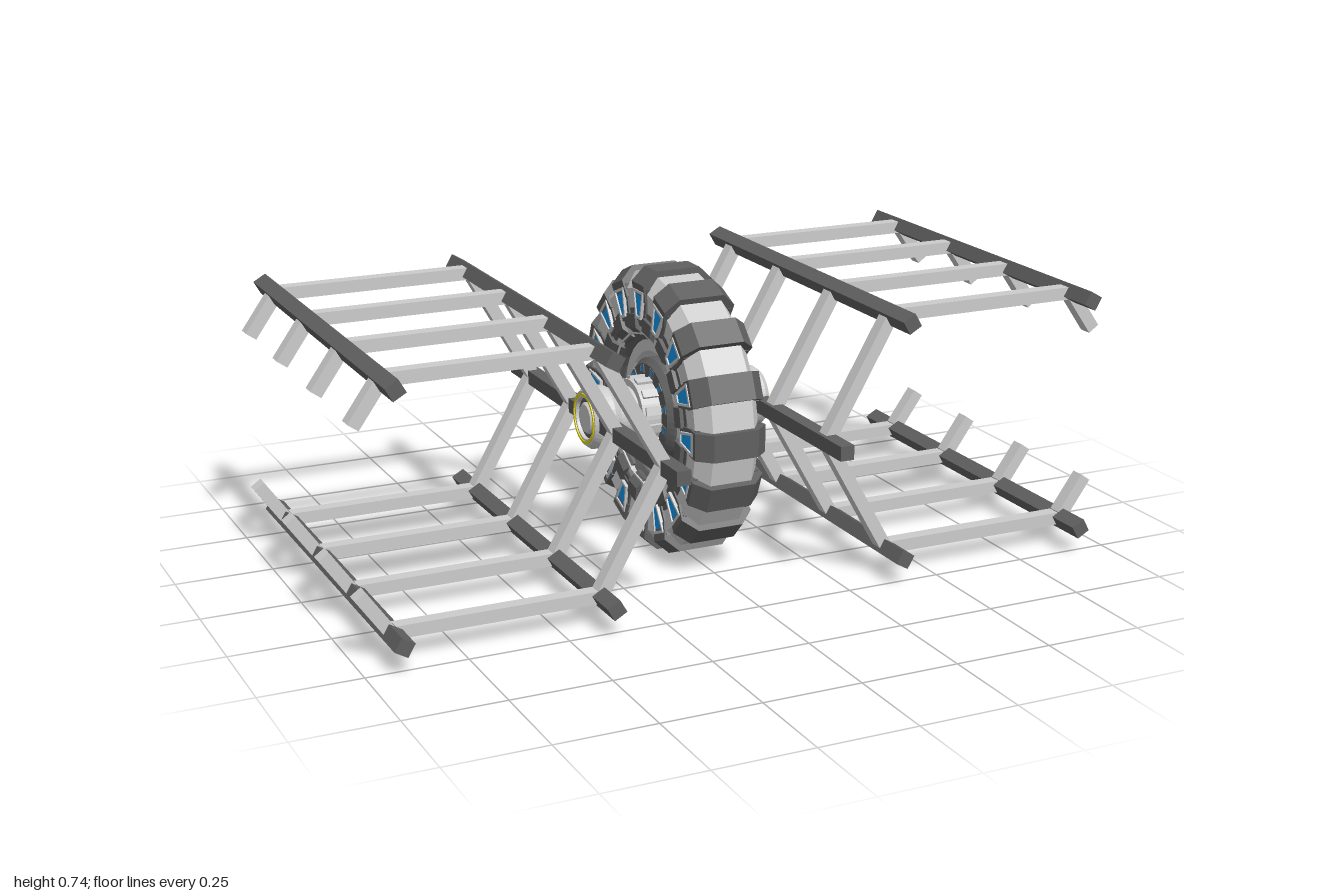
import * as THREE from 'three';

const CY = 0.37; // axle height
const mat = (color, flat = true) => new THREE.MeshStandardMaterial({ color, flatShading: flat });
const light = mat(0xcccccc), smooth = mat(0xcccccc, false), dark = mat(0x606060);
const blue = mat(0x1199ee), yellow = mat(0xe6d800);
smooth.side = THREE.DoubleSide;

function add(parent, name, geometry, material) {
  const m = new THREE.Mesh(geometry, material);
  m.name = name;
  parent.add(m);
  return m;
}

// Ring or disc around the x axis; profile points are [x, radius], from -x to +x on the outside
function turned(profile, segments) {
  const g = new THREE.LatheGeometry(profile.map(([x, r]) => new THREE.Vector2(r, x)), segments);
  return g.rotateZ(-Math.PI / 2);
}
const ring = (r0, r1, x0, x1, seg = 48) =>
  turned([[x0, r0], [x0, r1], [x1, r1], [x1, r0], [x0, r0]], seg);

// Block with an (x, radius) section, extruded along the tangent
function tangentBlock(points, width) {
  const s = new THREE.Shape(points.map(([x, r]) => new THREE.Vector2(x, r)));
  return new THREE.ExtrudeGeometry(s, { depth: width, bevelEnabled: false }).translate(0, 0, -width / 2);
}

const trapezoid = (r0, r1, w0, w1) =>
  [[-w0, r0], [w0, r0], [w1, r1], [-w1, r1]].map(([x, y]) => new THREE.Vector2(x, y));

// Trapezoid seen from the side of the wheel, reaching through to both faces
function sidePanel(outer, halfX, hole) {
  const s = new THREE.Shape(outer);
  if (hole) s.holes.push(new THREE.Path(hole));
  return new THREE.ExtrudeGeometry(s, { depth: halfX * 2, bevelEnabled: false })
    .translate(0, 0, -halfX).rotateY(Math.PI / 2);
}

// Repeat a builder around the axle
function around(parent, count, offset, build) {
  for (let i = 0; i < count; i++) {
    const pivot = new THREE.Group();
    pivot.name = 'sector';
    pivot.rotation.x = (i + offset) * Math.PI * 2 / count;
    parent.add(pivot);
    build(pivot);
  }
}

function createWheel() {
  const wheel = new THREE.Group();
  wheel.name = 'wheel';
  wheel.position.y = CY;

  // Faceted tyre and darker sidewall
  add(wheel, 'tyre', turned([[-0.08, 0.2], [-0.08, 0.25], [-0.086, 0.32], [-0.056, 0.361],
    [0.056, 0.361], [0.086, 0.32], [0.08, 0.25], [0.08, 0.2], [-0.08, 0.2]], 16), light);
  add(wheel, 'sidewall', turned([[-0.055, 0.18], [-0.084, 0.225], [-0.084, 0.265],
    [0.084, 0.265], [0.084, 0.225], [0.055, 0.18], [-0.055, 0.18]], 32), dark);
  add(wheel, 'rim', ring(0.15, 0.2, -0.05, 0.05), light);

  // Tread lugs with framed blue windows
  const lug = tangentBlock([[-0.09, 0.29], [0.09, 0.29], [0.096, 0.335], [0.06, 0.37],
    [-0.06, 0.37], [-0.096, 0.335]], 0.07);
  const panel = sidePanel(trapezoid(0.235, 0.325, 0.026, 0.037), 0.088);
  const pane = trapezoid(0.25, 0.31, 0.01, 0.023);
  const frame = sidePanel(trapezoid(0.243, 0.317, 0.015, 0.03), 0.096, pane);
  const glass = sidePanel(pane, 0.092);
  around(wheel, 16, 0, p => {
    add(p, 'treadLug', lug, dark);
    add(p, 'windowPanel', panel, dark);
    add(p, 'windowFrame', frame, light);
    add(p, 'window', glass, blue);
  });

  // Inner blocks between the windows
  const block = tangentBlock([[-0.07, 0.19], [0.07, 0.19], [0.094, 0.215], [0.094, 0.25],
    [-0.094, 0.25], [-0.07, 0.19]].slice(0, 4).concat([[-0.094, 0.25], [-0.094, 0.215]]), 0.05);
  around(wheel, 16, 0.5, p => add(p, 'innerBlock', block, dark));
  return wheel;
}

function createHub() {
  const hub = new THREE.Group();
  hub.name = 'hub';
  hub.position.y = CY;

  add(hub, 'hubDisc', turned([[-0.07, 0], [-0.07, 0.12], [-0.055, 0.134], [0.055, 0.134],
    [0.07, 0.12], [0.07, 0]], 48), dark);
  const lightFrame = sidePanel(trapezoid(0.096, 0.117, 0.011, 0.012), 0.073,
    trapezoid(0.099, 0.114, 0.007, 0.008));
  const lamp = sidePanel(trapezoid(0.099, 0.114, 0.007, 0.008), 0.072);
  const tooth = tangentBlock([[-0.112, 0.07], [0.112, 0.07], [0.112, 0.092], [-0.112, 0.092]], 0.022);
  around(hub, 12, 0.5, p => {
    add(p, 'lampFrame', lightFrame, dark);
    add(p, 'lamp', lamp, blue);
    add(p, 'hubTooth', tooth, light);
  });

  // Axle sleeves, end caps and yellow seals on both sides
  for (const s of [-1, 1]) {
    const side = new THREE.Group();
    side.name = s > 0 ? 'leftAxle' : 'rightAxle';
    side.rotation.y = s > 0 ? 0 : Math.PI;
    hub.add(side);
    const sleeve = turned([[0.06, 0.086], [0.12, 0.086], [0.12, 0.068], [0.17, 0.068],
      [0.19, 0.08], [0.232, 0.08], [0.245, 0.07], [0.245, 0.054], [0.225, 0.05], [0.225, 0]], 40);
    const flat = smooth.clone();
    flat.flatShading = true;
    add(side, 'axleSleeve', sleeve, flat);
    add(side, 'yellowSeal', ring(0.059, 0.065, 0.23, 0.248), yellow);
    add(side, 'darkCollar', ring(0.041, 0.052, 0.2, 0.236), dark);
    add(side, 'axleCap', turned([[0.2, 0.041], [0.238, 0.041], [0.244, 0.036], [0.244, 0]], 32), light);
  }
  return hub;
}

// Square bar in the xy plane between two points
function bar(parent, name, a, b, z) {
  const dx = b[0] - a[0], dy = b[1] - a[1];
  const m = add(parent, name, new THREE.BoxGeometry(Math.hypot(dx, dy), 0.032, 0.036), light);
  m.position.set((a[0] + b[0]) / 2, (a[1] + b[1]) / 2, z);
  m.rotation.z = Math.atan2(dy, dx);
}

function rail(parent, x, y, angle) {
  const m = add(parent, 'rail', new THREE.BoxGeometry(0.037, 0.037, 1.06), dark);
  m.position.set(x, y, 0);
  m.rotation.z = angle;
}

// Ladder-like wing: bent ribs joined by long rails
function createWing(s) {
  const wing = new THREE.Group();
  wing.name = s > 0 ? 'leftWing' : 'rightWing';
  rail(wing, s * 0.218, CY, 0);
  for (const v of [-1, 1]) {
    const path = [[0.218, 0], [0.39, 0.302], [0.912, 0.302], [0.984, 0.2]]
      .map(([x, y]) => [s * x, CY + v * y]);
    for (const z of [-0.42, -0.14, 0.14, 0.42]) {
      bar(wing, 'innerArm', path[0], path[1], z);
      bar(wing, 'rib', path[1], path[2], z);
      bar(wing, 'outerStub', path[2], path[3], z);
    }
    rail(wing, path[1][0], path[1][1], s * v * Math.PI / 6);
    rail(wing, path[2][0], path[2][1], -s * v * Math.PI / 6);
  }
  return wing;
}

export function createModel() {
  const model = new THREE.Group();
  model.name = 'wingedWheelCraft';
  model.add(createWheel(), createHub(), createWing(1), createWing(-1));
  return model;
}
